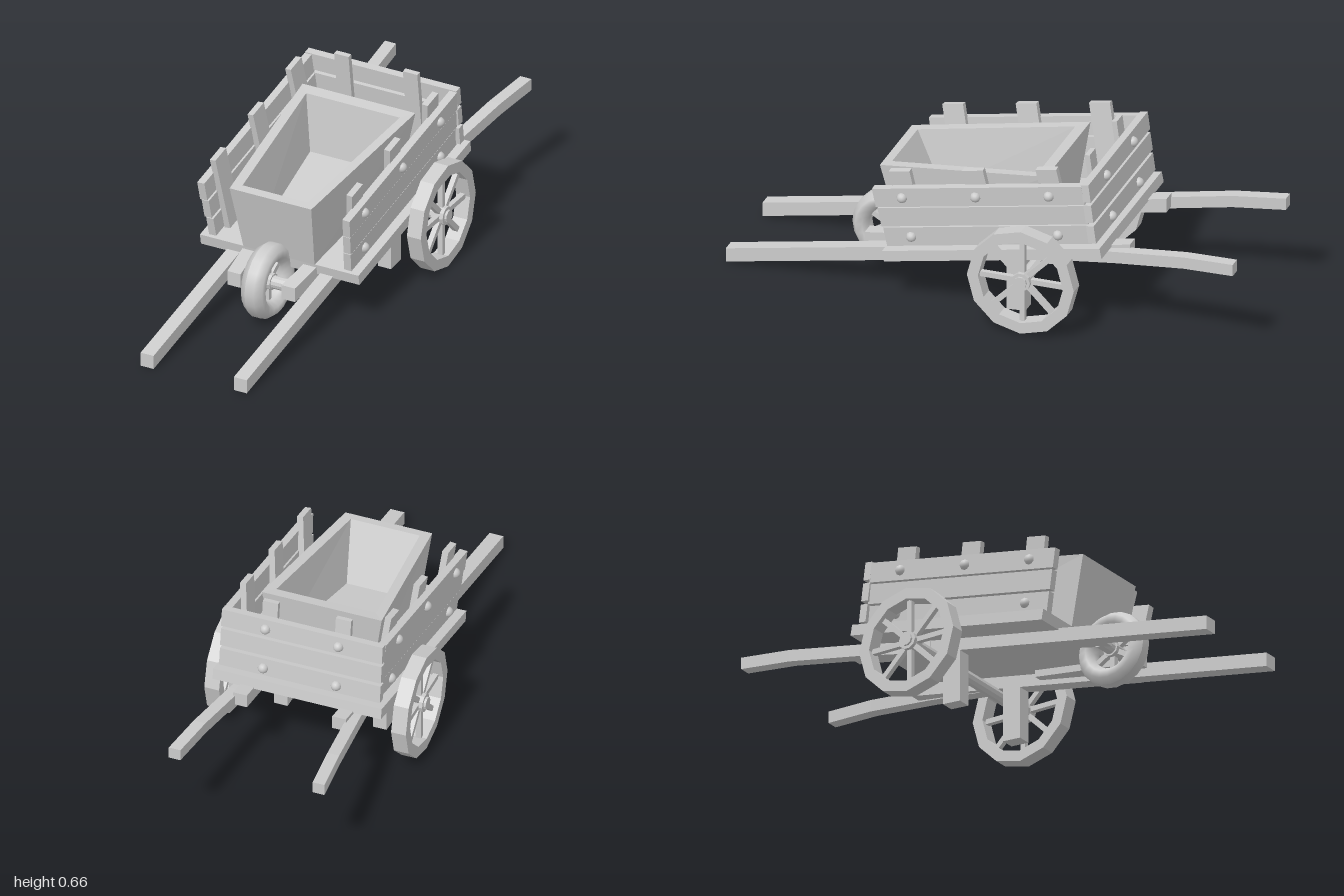
import * as THREE from 'three';

const mat = new THREE.MeshStandardMaterial({ color: 0xcccccc, flatShading: true });
const smooth = new THREE.MeshStandardMaterial({ color: 0xcccccc });
const V = (x, y, z) => new THREE.Vector3(x, y, z);

function add(parent, name, geo, pos = [0, 0, 0], rot = [0, 0, 0], material = mat) {
  const m = new THREE.Mesh(geo, material);
  m.name = name;
  m.position.set(...pos);
  m.rotation.set(...rot);
  parent.add(m);
  return m;
}
const box = (parent, name, size, pos, rot) => add(parent, name, new THREE.BoxGeometry(...size), pos, rot);

// Flat-faced surface through four-cornered rings, capped at both ends
function loft(rings) {
  const pos = [];
  const quad = (a, b, c, d) => [a, b, c, a, c, d].forEach(p => pos.push(p.x, p.y, p.z));
  for (let r = 0; r < rings.length - 1; r++)
    for (let i = 0; i < 4; i++) {
      const j = (i + 1) % 4;
      quad(rings[r][i], rings[r][j], rings[r + 1][j], rings[r + 1][i]);
    }
  quad(...[...rings[0]].reverse());
  quad(...rings[rings.length - 1]);
  const g = new THREE.BufferGeometry();
  g.setAttribute('position', new THREE.Float32BufferAttribute(pos, 3));
  g.computeVertexNormals();
  return g;
}

// Square-section beam following points from front to back
function beam(points, w, h) {
  return loft(points.map(([x, y, z]) => [
    V(x + w / 2, y - h / 2, z), V(x - w / 2, y - h / 2, z),
    V(x - w / 2, y + h / 2, z), V(x + w / 2, y + h / 2, z)]));
}

// Spokes and hub around the x axis
function spokesAndHub(g, count, length, thick, hubR, hubW) {
  for (let i = 0; i < count; i++) {
    const a = i / count * Math.PI * 2;
    box(g, 'spoke', [thick, length, thick],
      [0, Math.cos(a) * length / 2, Math.sin(a) * length / 2], [a, 0, 0]);
  }
  add(g, 'hub', new THREE.CylinderGeometry(hubR, hubR, hubW, 10), [0, 0, 0], [0, 0, Math.PI / 2]);
}

export function createModel() {
  const model = new THREE.Group();
  model.name = 'handcart';

  // Sloping bed; everything inside is built square to it
  const bed = new THREE.Group();
  bed.name = 'bed';
  bed.position.y = 0.235;
  bed.rotation.x = 0.185;
  model.add(bed);
  box(bed, 'floor', [0.66, 0.042, 0.86], [0, 0.02, -0.078]);
  box(bed, 'crossBar', [0.4, 0.03, 0.06], [0, -0.012, -0.3]);

  const bolt = new THREE.SphereGeometry(0.02, 10, 5, 0, Math.PI * 2, 0, Math.PI / 2);
  const rows = [0.085, 0.168, 0.25];
  const lean = 0.1;

  for (const s of [-1, 1]) {
    // Leaning side wall
    const side = new THREE.Group();
    side.name = 'sideWall';
    side.position.set(s * 0.274, 0.04, 0);
    side.rotation.z = -s * lean;
    bed.add(side);
    rows.forEach((y, i) => box(side, 'sidePlank', [0.03, 0.076, 0.81 + i * 0.008],
      [s * 0.005, y - 0.04, -0.062], [0, 0, s * 0.04]));
    for (const z of [0.24, -0.05, -0.34]) {
      box(side, 'sideStake', [0.024, 0.305, 0.082], [-s * 0.02, 0.153, z]);
      add(side, 'bolt', bolt, [s * 0.019, rows[2] - 0.04, z], [0, 0, -s * Math.PI / 2], smooth);
      if (z !== -0.05)
        add(side, 'bolt', bolt, [s * 0.019, rows[0] - 0.04, z], [0, 0, -s * Math.PI / 2], smooth);
    }
    // Stakes and bolts of the tail wall
    box(bed, 'tailStake', [0.06, 0.31, 0.02], [s * 0.143, 0.19, -0.45], [-0.05, 0, 0]);
    for (const i of [0, 2])
      add(bed, 'bolt', bolt, [s * 0.143, rows[i], -0.495 - i * 0.004], [-Math.PI / 2, 0, 0], smooth);
  }
  rows.forEach((y, i) => box(bed, 'tailPlank', [0.63, 0.07, 0.03],
    [0, y + 0.005, -0.478 - i * 0.005], [-0.05, 0, 0]));

  // Tapered open tub with thick walls
  const ring = (xf, yf, zf, xb, yb, zb) =>
    [V(-xf, yf, zf), V(xf, yf, zf), V(xb, yb, zb), V(-xb, yb, zb)];
  add(model, 'tub', loft([
    ring(0.148, 0.21, 0.355, 0.19, 0.315, -0.22),
    ring(0.17, 0.475, 0.42, 0.235, 0.575, -0.25),
    ring(0.135, 0.48, 0.385, 0.195, 0.567, -0.205),
    ring(0.11, 0.265, 0.28, 0.165, 0.345, -0.18)]));

  for (const s of [-1, 1]) {
    // Long shafts, splayed handles and legs
    add(model, 'shaft', beam([[s * 0.194, 0.028, 1], [s * 0.194, 0.32, -0.57]], 0.054, 0.054));
    add(model, 'handle', beam([[s * 0.2, 0.25, -0.22], [s * 0.232, 0.302, -0.52],
      [s * 0.262, 0.343, -0.8], [s * 0.282, 0.357, -1]], 0.046, 0.046));
    add(model, 'leg', beam([[s * 0.194, 0.12, -0.09], [s * 0.194, 0.125, -0.165]], 0.054, 0.24));
    // Arms holding the front wheel
    add(model, 'wheelArm', beam([[s * 0.113, 0.145, 0.49], [s * 0.16, 0.235, 0]], 0.055, 0.056));

    // Large faceted side wheels
    const wheel = new THREE.Group();
    wheel.name = 'sideWheel';
    wheel.position.set(s * 0.366, 0.21, -0.208);
    model.add(wheel);
    const rim = [[0.165, -0.029], [0.208, -0.029], [0.208, 0.029], [0.165, 0.029], [0.165, -0.029]];
    add(wheel, 'rim', new THREE.LatheGeometry(rim.map(p => new THREE.Vector2(...p)), 12),
      [0, 0, 0], [0, 0, Math.PI / 2]);
    spokesAndHub(wheel, 8, 0.175, 0.02, 0.036, 0.05);
  }
  add(model, 'axle', new THREE.CylinderGeometry(0.024, 0.024, 0.8, 10),
    [0, 0.21, -0.208], [0, 0, Math.PI / 2]);

  // Small front wheel with a rounded tyre
  const front = new THREE.Group();
  front.name = 'frontWheel';
  front.position.set(0, 0.148, 0.44);
  model.add(front);
  const tyre = [];
  for (let i = 0; i <= 8; i++) {
    const a = (i + 0.5) / 8 * Math.PI * 2;
    tyre.push(new THREE.Vector2(0.11 + Math.cos(a) * 0.035, Math.sin(a) * 0.048));
  }
  add(front, 'tyre', new THREE.LatheGeometry(tyre, 20), [0, 0, 0], [0, 0, Math.PI / 2], smooth);
  spokesAndHub(front, 6, 0.09, 0.02, 0.032, 0.05);
  add(front, 'frontAxle', new THREE.CylinderGeometry(0.025, 0.025, 0.2, 12),
    [0, 0, 0], [0, 0, Math.PI / 2]);

  return model;
}
